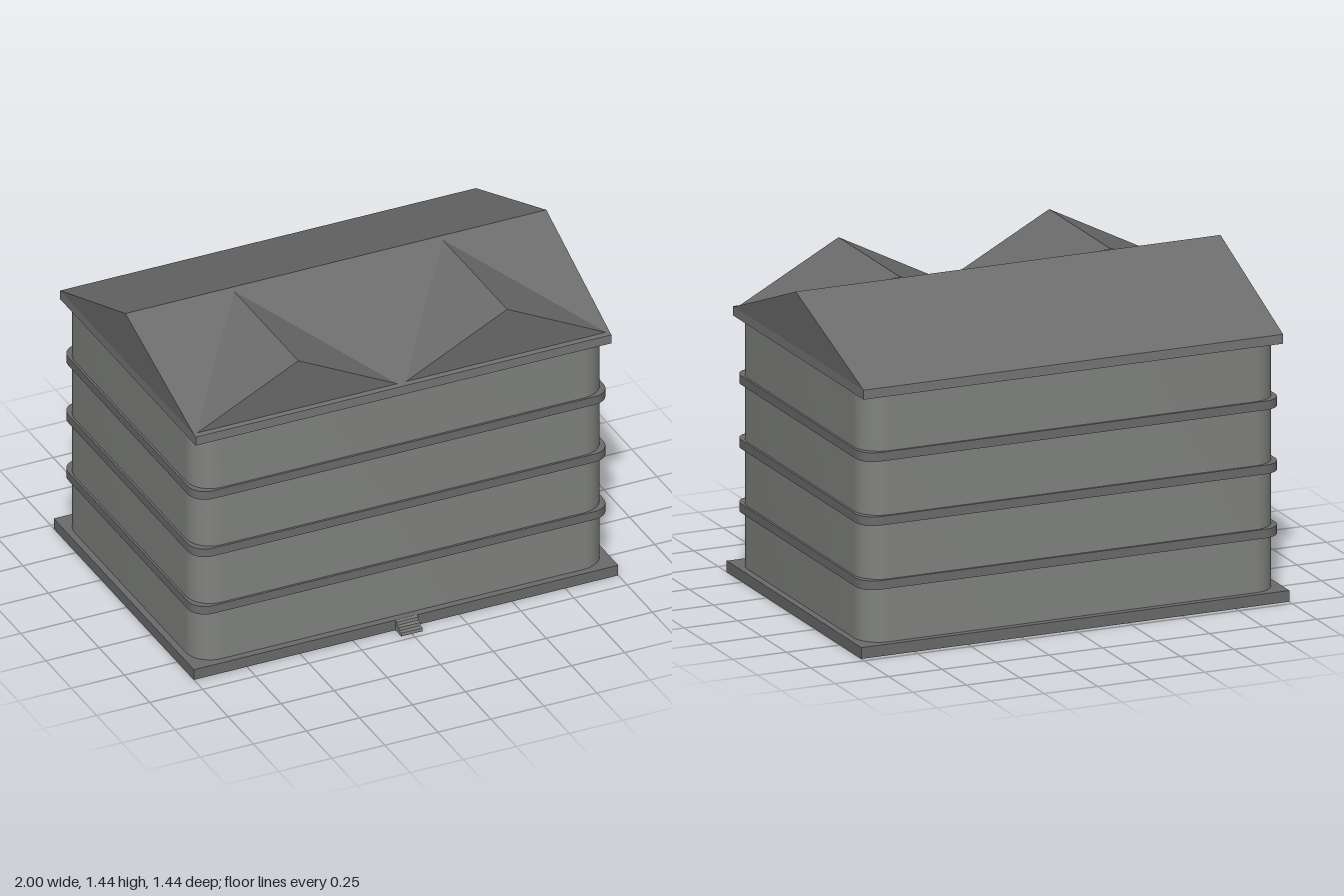
import * as THREE from 'three';
import { toCreasedNormals } from 'three/addons/utils/BufferGeometryUtils.js';

const wallMaterial = new THREE.MeshStandardMaterial({ color: 0x818380 });
const trimMaterial = new THREE.MeshStandardMaterial({ color: 0x6b6b6b });
const eavesMaterial = new THREE.MeshStandardMaterial({ color: 0x767676 });
const roofMaterial = new THREE.MeshStandardMaterial({ color: 0x6c6c6c, flatShading: true, side: THREE.DoubleSide });

export function createModel() {
  const model = new THREE.Group();
  model.name = 'building';

  const add = (name, geometry, material) => {
    const mesh = new THREE.Mesh(geometry, material);
    mesh.name = name;
    model.add(mesh);
    return mesh;
  };

  // Box given by its limits
  const box = (name, material, x, y0, y1, z0, z1) =>
    add(name, new THREE.BoxGeometry(2 * x, y1 - y0, z1 - z0), material)
      .position.set(0, (y0 + y1) / 2, (z0 + z1) / 2);

  // Upright block with rounded vertical corners
  const roundedBlock = (name, material, x, y0, y1, z0, z1, r, curveSegments) => {
    const s = new THREE.Shape();
    s.absarc(x - r, -z0 - r, r, 0, Math.PI / 2);
    s.absarc(-x + r, -z0 - r, r, Math.PI / 2, Math.PI);
    s.absarc(-x + r, -z1 + r, r, Math.PI, Math.PI * 1.5);
    s.absarc(x - r, -z1 + r, r, Math.PI * 1.5, Math.PI * 2);
    const g = new THREE.ExtrudeGeometry(s, { depth: y1 - y0, bevelEnabled: false, curveSegments });
    g.rotateX(-Math.PI / 2).translate(0, y0, 0);
    add(name, toCreasedNormals(g, 0.6), material);
  };

  // Flat-sided solid from corner points and triangles
  const facets = (name, points, faces) => {
    const g = new THREE.BufferGeometry();
    g.setAttribute('position', new THREE.Float32BufferAttribute(faces.flat().flatMap((i) => points[i]), 3));
    g.computeVertexNormals();
    add(name, g, roofMaterial);
  };

  // Plinth and entrance steps
  box('plinth', trimMaterial, 1, 0, 0.05, -0.72, 0.663);
  [0.72, 0.70, 0.68].forEach((z, i) =>
    box('step', wallMaterial, 0.05, i * 0.0165, (i + 1) * 0.0165, 0.65, z));

  // Walls with a projecting band at each floor
  roundedBlock('walls', wallMaterial, 0.97, 0.05, 1.145, -0.69, 0.63, 0.115, 8);
  for (const y of [0.29, 0.575, 0.86]) {
    roundedBlock('floorBand', trimMaterial, 0.98, y, y + 0.04, -0.7, 0.64, 0.08, 4);
  }

  // Eaves slab
  box('eaves', eavesMaterial, 0.98, 1.145, 1.187, -0.7, 0.64);

  // Main gabled roof, its ends leaning slightly outward
  const y = 1.187;
  facets('mainRoof', [
    [-0.98, y, 0.63], [0.98, y, 0.63], [0.98, y, -0.7], [-0.98, y, -0.7],
    [-0.992, 1.44, -0.03], [0.992, 1.44, -0.03],
  ], [[0, 1, 5], [0, 5, 4], [2, 3, 4], [2, 4, 5], [1, 2, 5], [3, 0, 4], [0, 3, 2], [0, 2, 1]]);

  // Two wide front dormers running back into the main slope
  for (const x of [-0.492, 0.492]) {
    facets('dormer', [
      [x - 0.48, y, 0.618], [x + 0.48, y, 0.618], [x, 1.434, 0.63], [x, 1.434, -0.005],
    ], [[0, 1, 2], [1, 3, 2], [0, 2, 3]]);
  }

  return model;
}
